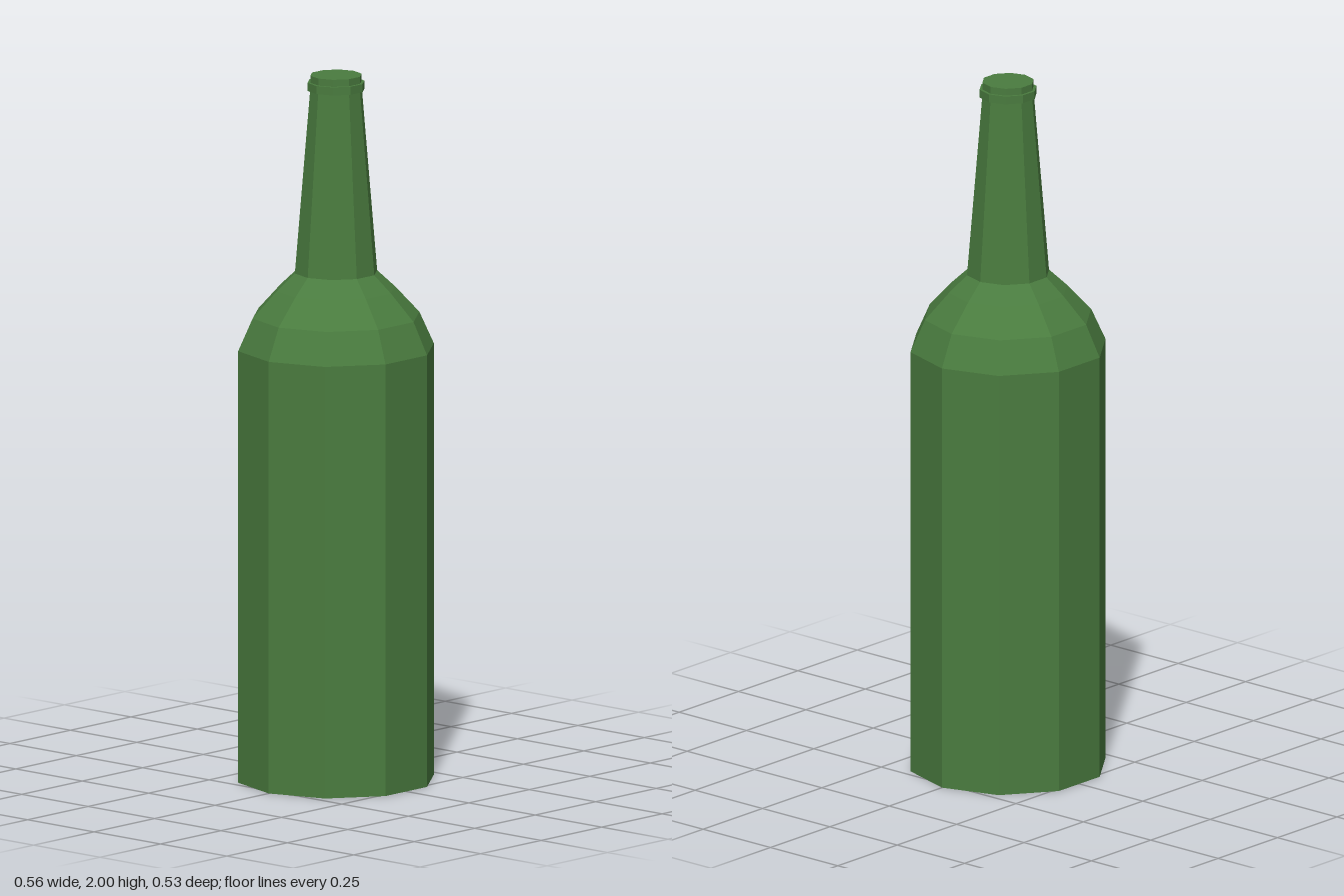
import * as THREE from 'three';

const SIDES = 10;

export function createModel() {
  const bottle = new THREE.Group();
  bottle.name = 'bottle';
  const glass = new THREE.MeshStandardMaterial({ color: 0x4a7c3f, flatShading: true });

  // Turn a [radius, height] profile, listed bottom to top, with a corner on the x axis
  const turn = (name, profile) => {
    const points = profile.map(([r, y]) => new THREE.Vector2(r, y));
    const mesh = new THREE.Mesh(new THREE.LatheGeometry(points, SIDES, Math.PI / 2), glass);
    mesh.name = name;
    bottle.add(mesh);
  };

  // Closed base and straight wall
  turn('body', [[0, 0], [0.278, 0], [0.278, 1.226]]);

  // Rounded shoulder
  turn('shoulder', [[0.278, 1.226], [0.237, 1.317], [0.168, 1.392], [0.117, 1.44]]);

  // Tapering neck with a closed mouth
  turn('neck', [[0.117, 1.44], [0.073, 1.965], [0.073, 2], [0, 2]]);

  // Raised ring below the mouth
  turn('lipRing', [[0.07, 1.957], [0.081, 1.957], [0.081, 1.98], [0.07, 1.98]]);

  return bottle;
}
